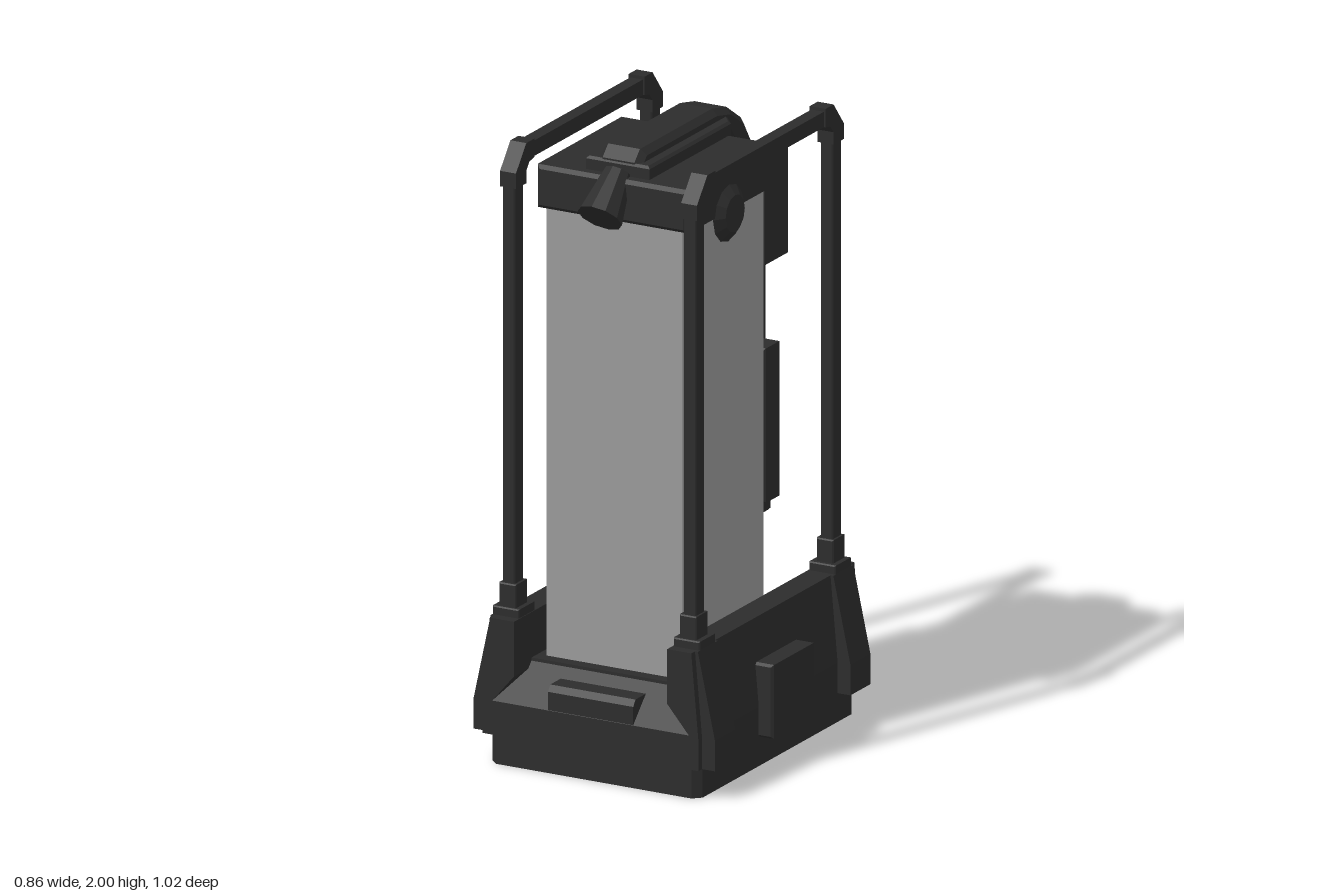
import * as THREE from 'three';

const dark = new THREE.MeshStandardMaterial({ color: 0x2c2c2c, flatShading: true });
const glass = new THREE.MeshStandardMaterial({ color: 0x999999, flatShading: true });

export function createModel() {
  const model = new THREE.Group();

  function add(name, geometry, x = 0, y = 0, z = 0, material = dark) {
    const mesh = new THREE.Mesh(geometry, material);
    mesh.name = name;
    mesh.position.set(x, y, z);
    model.add(mesh);
    return mesh;
  }

  // Profile extruded along z and centred, with an optional chamfer
  function prism(points, depth, bevel = 0) {
    const shape = new THREE.Shape(points.map(([a, b]) => new THREE.Vector2(a, b)));
    const g = new THREE.ExtrudeGeometry(shape, {
      depth: depth - 2 * bevel, bevelEnabled: bevel > 0, bevelThickness: bevel,
      bevelSize: bevel, bevelOffset: -bevel, bevelSegments: 1,
    });
    return g.translate(0, 0, -depth / 2 + bevel);
  }
  // (z, y) profile extruded across x
  const sidePrism = (points, width, bevel) => prism(points, width, bevel).rotateY(-Math.PI / 2);
  // (x, z) outline extruded up y
  const planPrism = (points, height, bevel) => prism(points.map(([x, z]) => [x, -z]), height, bevel).rotateX(-Math.PI / 2);

  // Chamfered box given by its limits
  function block(name, x0, x1, y0, y1, z0, z1, bevel = 0.004, material = dark) {
    const w = (x1 - x0) / 2, h = (y1 - y0) / 2;
    const g = prism([[-w, -h], [w, -h], [w, h], [-w, h]], z1 - z0, bevel);
    return add(name, g, (x0 + x1) / 2, (y0 + y1) / 2, (z0 + z1) / 2, material);
  }

  // Hollow plinth with clipped corners
  const outline = (w, d, c) => [[w, -d + c], [w, d - c], [w - c, d], [-w + c, d],
    [-w, d - c], [-w, -d + c], [-w + c, -d], [w - c, -d]].map(([x, z]) => new THREE.Vector2(x, z));
  const ring = new THREE.Shape(outline(0.37, 0.49, 0.025));
  ring.holes.push(new THREE.Path(outline(0.358, 0.478, 0.02)));
  const plinth = new THREE.ExtrudeGeometry(ring, { depth: 0.11, bevelEnabled: false });
  add('plinth', plinth.rotateX(-Math.PI / 2));

  // Deck with the dark underside of the canister
  block('deck', -0.3, 0.3, 0.3, 0.33, -0.4, 0.4, 0);
  block('canisterFoot', -0.2, 0.2, 0.265, 0.3, -0.1, 0.31, 0);

  const wall = [[0.355, 0.1], [0.38, 0.1], [0.38, 0.2], [0.355, 0.477], [0.27, 0.477], [0.27, 0.3], [0.355, 0.2]];
  const pillar = [[0.355, 0.1], [0.425, 0.1], [0.425, 0.2], [0.365, 0.477], [0.27, 0.477], [0.27, 0.4], [0.355, 0.2]];
  const mirror = (points, s) => points.map(([a, b]) => [s * a, b]);

  for (const s of [1, -1]) {
    const side = s > 0 ? 'left' : 'right';
    const span = (a, b) => (s > 0 ? [a, b] : [-b, -a]);

    // Side wall and pad
    add(side + 'BaseWall', prism(mirror(wall, s), 1.02));
    block(side + 'BasePad', ...span(0.36, 0.43), 0.1, 0.34, -0.132, 0.132, 0.008);

    for (const f of [1, -1]) {
      const corner = side + (f > 0 ? 'Front' : 'Back');
      // Tapered corner pillar, socket and upright
      add(corner + 'Pillar', prism(mirror(pillar, s), 0.125), 0, 0, f * 0.424);
      block(corner + 'SocketFoot', ...span(0.272, 0.365), 0.465, 0.505, f * 0.425 - 0.05, f * 0.425 + 0.05);
      block(corner + 'Socket', ...span(0.288, 0.348), 0.48, 0.58, f * 0.428 - 0.037, f * 0.428 + 0.037);
      block(corner + 'Post', ...span(0.297, 0.341), 0.55, 1.89, f * 0.428 - 0.028, f * 0.428 + 0.028);
      // Angled frame corner
      const elbow = [[0.395, 1.86], [0.46, 1.86], [0.46, 1.91], [0.395, 1.99], [0.345, 1.99], [0.345, 1.93], [0.375, 1.925], [0.395, 1.9]];
      add(corner + 'Elbow', sidePrism(mirror(elbow, f), 0.056), s * 0.319);
    }
    block(side + 'TopBar', ...span(0.297, 0.341), 1.93, 1.98, -0.37, 0.37);

    // Cap knob: faceted disc with a chamfered rim
    const knob = new THREE.CylinderGeometry(0.06, 0.095, 0.025, 12).rotateZ(-s * Math.PI / 2);
    add(side + 'CapKnob', knob, s * 0.274, 1.775, 0.113);

    // Strip beside the grip
    block(side + 'GripStrip', ...span(0.09, 0.21), 0.73, 1.23, -0.307, -0.208, 0.008);
  }

  // Sloped end walls with raised blocks
  const end = [[0.478, 0.1], [0.51, 0.1], [0.51, 0.21], [0.39, 0.33], [0.35, 0.33], [0.35, 0.3], [0.478, 0.19]];
  const lug = [[0.4, 0.25], [0.48, 0.2], [0.509, 0.2], [0.509, 0.27], [0.495, 0.29], [0.4, 0.29]];
  for (const f of [1, -1]) {
    const name = f > 0 ? 'front' : 'back';
    add(name + 'BaseWall', sidePrism(mirror(end, f), 0.71));
    add(name + 'BaseLug', sidePrism(mirror(lug, f), 0.3));
  }

  // Canister body and cap
  block('canister', -0.24, 0.24, 0.275, 1.79, -0.147, 0.36, 0, glass);
  block('cap', -0.265, 0.265, 1.78, 1.92, -0.167, 0.38, 0.012);
  block('backSpine', -0.2, 0.2, 0.66, 1.72, -0.18, -0.143);

  // Rail on the cap that bends down into the back column
  add('railBase', planPrism([[-0.112, 0.34], [0.112, 0.34], [0.112, -0.17], [0.075, -0.215], [-0.075, -0.215], [-0.112, -0.17]], 0.055, 0.008), 0, 1.935, 0);
  add('railHose', sidePrism([[0.335, 1.91], [0.335, 1.965], [0.3, 2], [-0.15, 2], [-0.24, 1.98], [-0.33, 1.92],
    [-0.375, 1.85], [-0.375, 1.58], [-0.28, 1.58], [-0.28, 1.82], [-0.22, 1.9]], 0.152, 0.02));

  // Flared spout pointing forward and down
  const spout = add('spout', new THREE.CylinderGeometry(0.045, 0.073, 0.16, 10), 0, 1.868, 0.395);
  spout.rotation.x = -Math.PI / 4;

  // Back box behind the cap
  block('backBox', -0.23, 0.23, 1.515, 1.855, -0.325, -0.167, 0.006);

  // Column with a sloped shoulder, chamfered stem and ribbed grip
  add('backColumn', sidePrism([[-0.15, 0.68], [-0.15, 1.7], [-0.3, 1.7], [-0.37, 1.66], [-0.393, 1.6], [-0.393, 0.68]], 0.24, 0.02));
  block('hoseCollar', -0.088, 0.088, 1.64, 1.74, -0.38, -0.27, 0.008);
  add('stem', planPrism([[-0.105, -0.155], [0.105, -0.155], [0.105, -0.3], [0.055, -0.357], [-0.055, -0.357], [-0.105, -0.3]], 0.38), 0, 0.49, 0);
  const rib = [[-0.145, -0.142], [0.145, -0.142], [0.145, -0.36], [0.1, -0.41], [-0.1, -0.41], [-0.145, -0.36]];
  add('gripFoot', planPrism(rib, 0.07, 0.008), 0, 0.69, 0);
  for (let i = 0; i < 4; i++) add('gripRib', planPrism(rib, 0.07, 0.01), 0, 0.78 + i * 0.092, 0);

  return model;
}
